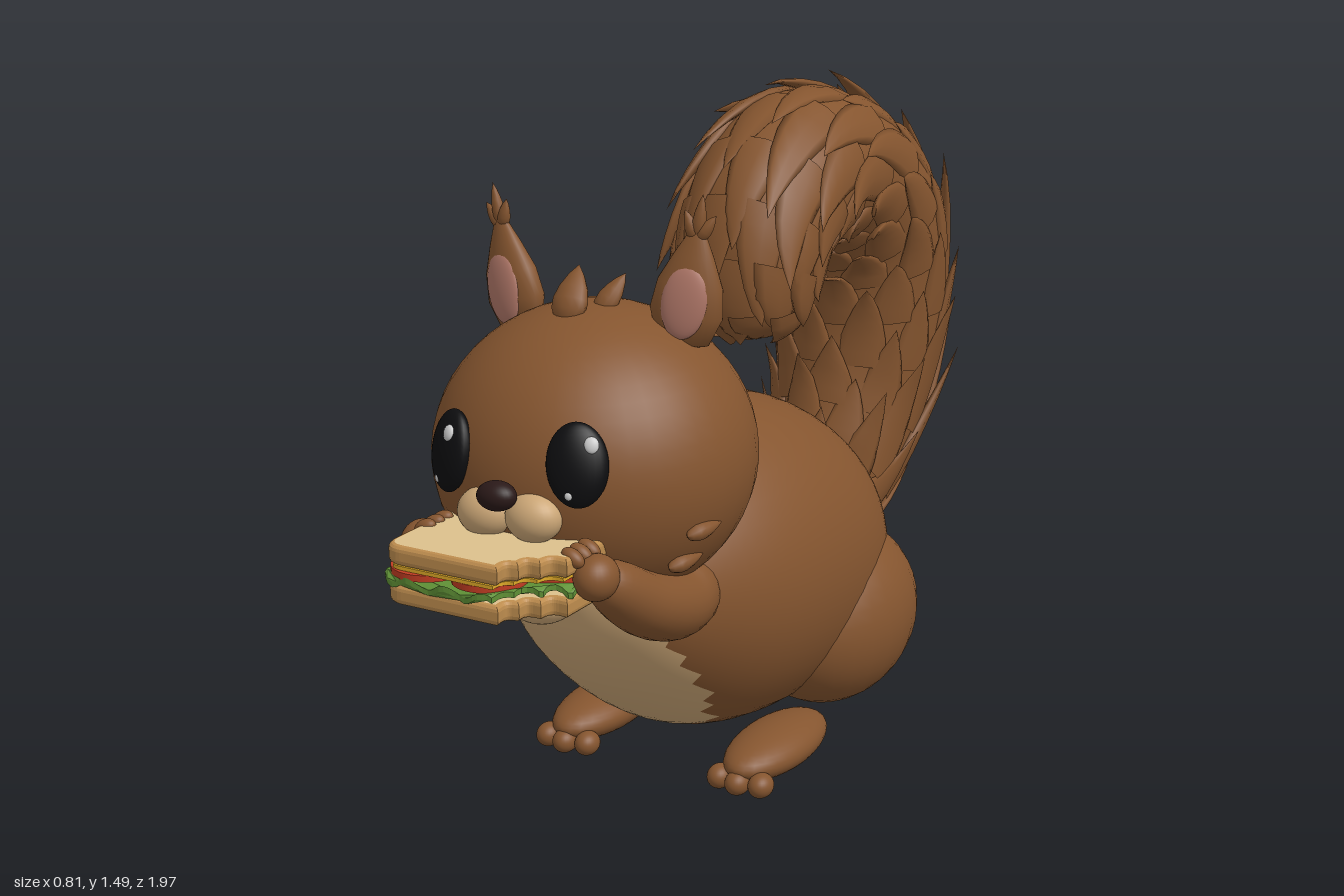
import * as THREE from 'three';

const mat = (color) => new THREE.MeshStandardMaterial({ color });
const V = (x, y, z) => new THREE.Vector3(x, y, z);
const fur = mat(0x85552f), cream = mat(0xcba676), black = mat(0x0d0d0f), noseMat = mat(0x2a1918);
const pink = mat(0xad7566), white = mat(0xf2f2f2), bread = mat(0xdcc08c), crust = mat(0xbd8c4e);
const red = mat(0xc03c22), green = mat(0x5f9036), yellow = mat(0xe0aa28);

function add(parent, name, geo, material, pos = [0, 0, 0], rot = [0, 0, 0], scale = [1, 1, 1]) {
  const m = new THREE.Mesh(geo, material);
  m.name = name;
  m.position.set(...pos);
  m.rotation.set(...rot);
  m.scale.set(...scale);
  parent.add(m);
  return m;
}
const lathe = (pts, n) => new THREE.LatheGeometry(pts.map((q) => new THREE.Vector2(...q)), n);
const ball = new THREE.SphereGeometry(1, 28, 20);
const blob = (parent, name, material, pos, radii, rot) => add(parent, name, ball, material, pos, rot, radii);
// Unit leaf-shaped tuft of fur, pointing up
const tuft = lathe([[0, 0], [0.6, 0.08], [0.95, 0.25], [1, 0.42], [0.82, 0.62], [0.45, 0.83], [0, 1]], 12);

// Skin over elliptical rings, each with centre c and half axes a and b (a x b points along the sweep)
function skin(rings, sides) {
  const pos = [], idx = [];
  rings.forEach(({ c, a, b }, i) => {
    for (let j = 0; j < sides; j++) {
      const t = (j / sides) * Math.PI * 2;
      const p = c.clone().addScaledVector(a, Math.cos(t)).addScaledVector(b, Math.sin(t));
      pos.push(p.x, p.y, p.z);
      if (i === rings.length - 1) continue;
      const k = i * sides + j, l = i * sides + ((j + 1) % sides);
      idx.push(k, l, k + sides, l, l + sides, k + sides);
    }
  });
  const g = new THREE.BufferGeometry();
  g.setAttribute('position', new THREE.Float32BufferAttribute(pos, 3));
  g.setIndex(idx);
  g.computeVertexNormals();
  return g;
}
const spline = (pts) => new THREE.CatmullRomCurve3(pts.map((p) => V(...p)), false, 'catmullrom');

// Limb frame at u: rows are [x, y, z, sideways radius, in-plane radius]
function limb(rows) {
  const path = spline(rows.map((r) => r.slice(0, 3)));
  const size = spline(rows.map((r) => [r[3], r[4], 0]));
  return (u) => {
    const c = path.getPoint(u), r = size.getPoint(u), t = path.getTangent(u);
    const a = V(1, 0, 0).addScaledVector(t, -t.x).normalize();
    const b = t.clone().cross(a);
    return { c, t, a: a.multiplyScalar(Math.max(r.x, 0)), b: b.multiplyScalar(Math.max(r.y, 0)) };
  };
}
const ringsOf = (f, n) => Array.from({ length: n + 1 }, (_, i) => f(i / n));

// Body, split by face into fur and belly
function buildBody(root) {
  const rows = [ // z, top, bottom, half width
    [-0.5, 0.39, 0.39, 0], [-0.485, 0.51, 0.27, 0.11], [-0.44, 0.62, 0.17, 0.2], [-0.35, 0.7, 0.11, 0.28],
    [-0.18, 0.79, 0.075, 0.345], [0.03, 0.845, 0.07, 0.365], [0.25, 0.83, 0.125, 0.34], [0.44, 0.76, 0.26, 0.26],
    [0.56, 0.67, 0.41, 0.16], [0.61, 0.55, 0.55, 0]];
  const outline = spline(rows.map((r) => r.slice(0, 3)));
  const width = spline(rows.map((r) => [r[3], 0, 0]));
  const geo = skin(ringsOf((u) => {
    const o = outline.getPoint(u), w = Math.max(width.getPoint(u).x, 0);
    return { c: V(0, (o.y + o.z) / 2, o.x), a: V(w, 0, 0), b: V(0, Math.max(o.y - o.z, 0) / 2, 0) };
  }, 54), 48);
  const p = geo.attributes.position, index = geo.index.array, parts = { fur: [], belly: [] };
  for (let i = 0; i < index.length; i += 3) {
    const f = [index[i], index[i + 1], index[i + 2]];
    const mid = (k) => f.reduce((s, v) => s + p.getComponent(v, k), 0) / 3;
    const inside = Math.abs(mid(0) / 0.205) ** 2.3 + Math.abs((mid(1) - 0.345) / 0.235) ** 2.3 < 1;
    parts[inside && mid(2) > 0.1 ? 'belly' : 'fur'].push(...f);
  }
  for (const [key, faces] of Object.entries(parts)) {
    const g = geo.clone();
    g.setIndex(faces);
    add(root, key === 'fur' ? 'body' : 'belly', g, key === 'fur' ? fur : cream);
  }
}

// Curled tail: swept core with thin locks of fur that follow its curve and lift at their tips
function buildTail(root) {
  const tail = new THREE.Group();
  tail.name = 'tail';
  root.add(tail);
  const f = limb([
    [0, 0.4, -0.4, 0.08, 0.08], [0, 0.46, -0.58, 0.14, 0.165], [0, 0.67, -0.715, 0.18, 0.21], [0, 0.9, -0.745, 0.205, 0.21],
    [0, 1.1, -0.695, 0.215, 0.2], [0, 1.235, -0.55, 0.205, 0.185], [0, 1.265, -0.37, 0.19, 0.18], [0, 1.185, -0.225, 0.18, 0.16],
    [0, 1.06, -0.155, 0.165, 0.11], [0, 0.96, -0.165, 0.12, 0.06], [0, 0.91, -0.175, 0, 0]]);
  add(tail, 'tailCore', skin(ringsOf(f, 54), 28), fur);
  const rows = 14, n = 9;
  for (let i = 0; i < rows; i++) {
    const u0 = 0.04 + (i / (rows - 1)) * 0.8;
    for (let j = 0; j < n; j++) {
      const ang = ((j + (i % 2) / 2) / n) * Math.PI * 2, wob = Math.sin(i * 7.3 + j * 4.1);
      add(tail, 'furLock', skin(ringsOf((s) => {
        const { c, t, a, b } = f(Math.min(u0 + s * (0.125 + 0.025 * wob), 0.99));
        const off = a.multiplyScalar(Math.cos(ang)).addScaledVector(b, Math.sin(ang));
        const out = off.clone().normalize(), taper = 1 - s ** 1.6;
        const side = out.clone().cross(t).normalize().multiplyScalar(0.065 * taper);
        c.addScaledVector(off, 0.92 + 0.1 * s).addScaledVector(out, (0.028 + 0.02 * wob) * s * s);
        return { c, a: side, b: out.multiplyScalar(0.022 * taper) };
      }, 6), 8), fur);
    }
  }
  // Loose lock near the root
  add(tail, 'looseLock', tuft, fur, [0.02, 0.33, -0.6], [-1.03, 0, 0], [0.07, 0.35, 0.035]);
}

function buildHead(root) {
  const head = new THREE.Group(), R = V(0.345, 0.32, 0.34);
  head.name = 'head';
  head.position.set(0, 0.83, 0.48);
  head.rotation.z = 0.06;
  root.add(head);
  add(head, 'skull', new THREE.SphereGeometry(1, 40, 28), fur, [0, 0, 0], [0, 0, 0], R.toArray());
  // Flattened blob lying on the skull's front
  const onFace = (name, material, x, y, lift, size) => {
    const z = R.z * Math.sqrt(1 - (x / R.x) ** 2 - (y / R.y) ** 2);
    const nrm = V(x / R.x ** 2, y / R.y ** 2, z / R.z ** 2).normalize();
    const m = new THREE.Mesh(ball, material);
    m.name = name;
    m.position.set(x, y, z).addScaledVector(nrm, lift);
    m.lookAt(m.position.clone().add(nrm));
    m.scale.set(...size);
    head.add(m);
  };
  const earGeo = lathe([[0, -0.03], [0.057, -0.01], [0.078, 0.05], [0.07, 0.11], [0.043, 0.17], [0.017, 0.22], [0, 0.24]], 24);
  for (const s of [1, -1]) {
    onFace('eye', black, s * 0.152, 0.065, 0, [0.063, 0.086, 0.03]);
    onFace('eyeHighlight', white, s * 0.152 + 0.022, 0.1, 0.026, [0.015, 0.017, 0.008]);
    onFace('eyeGlint', white, s * 0.152 - 0.012, 0.01, 0.024, [0.008, 0.009, 0.005]);
    blob(head, 'muzzle', cream, [s * 0.058, -0.045, 0.325], [0.062, 0.052, 0.05]);
    // Ear with pink lining and a tuft on the tip
    const ear = new THREE.Group();
    ear.name = 'ear';
    ear.position.set(s * 0.2, 0.25, -0.05);
    ear.rotation.set(0, s * 0.25, -s * 0.2);
    head.add(ear);
    add(ear, 'earShell', earGeo, fur, [0, 0, 0], [0, 0, 0], [1, 1, 0.55]);
    blob(ear, 'earLining', pink, [0, 0.078, 0.028], [0.049, 0.078, 0.018], [-0.1, 0, 0]);
    for (const r of [-0.5, 0, 0.5])
      add(ear, 'earTuft', tuft, fur, [0, 0.2, 0], [0, 0, -r], [0.015, r ? 0.07 : 0.1, 0.013]);
    // Cheek tufts
    for (const [y, z, x] of [[-0.115, 0.14, 0.3], [-0.185, 0.15, 0.258]])
      add(head, 'cheekTuft', tuft, fur, [s * x, y, z], [-1.5, 0, -s * 0.25], [0.018, 0.1, 0.018]);
  }
  blob(head, 'nose', noseMat, [0, 0.005, 0.365], [0.044, 0.031, 0.033]);
  blob(head, 'chin', cream, [0, -0.255, 0.235], [0.075, 0.05, 0.065]);
  add(head, 'crownTuft', tuft, fur, [0, 0.285, 0.085], [-0.55, 0, 0], [0.04, 0.135, 0.028]);
  add(head, 'crownTuft', tuft, fur, [0.03, 0.29, 0.01], [-0.6, 0, -0.4], [0.026, 0.11, 0.02]);
}

function buildLimbs(root) {
  for (const s of [1, -1]) {
    blob(root, 'thigh', fur, [s * 0.217, 0.292, -0.18], [0.19, 0.213, 0.254]);
    blob(root, 'foot', fur, [s * 0.227, 0.06, 0.095], [0.086, 0.053, 0.188]);
    for (const x of [-0.052, 0, 0.052])
      blob(root, 'toe', fur, [s * 0.227 + x, 0.034, x ? 0.258 : 0.27], [0.028, 0.028, 0.034]);
    const arm = limb([[s * 0.17, 0.56, 0.36, 0, 0], [s * 0.18, 0.545, 0.42, 0.08, 0.08], [s * 0.195, 0.535, 0.51, 0.09, 0.08],
      [s * 0.215, 0.585, 0.65, 0.075, 0.068], [s * 0.213, 0.665, 0.77, 0.05, 0.05], [s * 0.21, 0.69, 0.82, 0, 0]]);
    add(root, 'arm', skin(ringsOf(arm, 28), 24), fur);
    blob(root, 'hand', fur, [s * 0.21, 0.69, 0.81], [0.045, 0.048, 0.052]);
    for (const z of [0.785, 0.815, 0.845])
      blob(root, 'finger', fur, [s * 0.178, 0.737, z], [0.027, 0.017, 0.017], [0, 0, -s * 0.5]);
  }
}

// Sandwich with a scalloped bite in one corner
function buildSandwich(root) {
  const g = new THREE.Group();
  g.name = 'sandwich';
  g.position.z = 0.008;
  root.add(g);
  const slice = new THREE.Shape();
  slice.moveTo(-0.15, 0.7);
  slice.lineTo(0.14, 0.7);
  slice.quadraticCurveTo(0.175, 0.7, 0.175, 0.74);
  slice.lineTo(0.175, 0.86);
  slice.quadraticCurveTo(0.135, 0.855, 0.135, 0.893);
  slice.quadraticCurveTo(0.098, 0.89, 0.102, 0.925);
  slice.quadraticCurveTo(0.072, 0.93, 0.08, 0.965);
  slice.lineTo(-0.14, 0.965);
  slice.quadraticCurveTo(-0.175, 0.965, -0.175, 0.93);
  slice.lineTo(-0.175, 0.74);
  slice.quadraticCurveTo(-0.175, 0.7, -0.15, 0.7);
  const slab = (shape, depth, bevel) => new THREE.ExtrudeGeometry(shape, { depth: depth - 2 * bevel, curveSegments: 8,
    bevelEnabled: bevel > 0, bevelSize: bevel, bevelThickness: bevel, bevelSegments: 3 }).rotateX(Math.PI / 2);
  for (const y of [0.733, 0.65]) add(g, 'breadSlice', slab(slice, 0.042, 0.012), [bread, crust], [0, y, 0]);
  add(g, 'cheese', slab(slice, 0.008, 0), yellow, [0, 0.703, 0.008]);
  // Frilly lettuce leaf
  const frill = new THREE.Shape(slice.getSpacedPoints(110).map((p, i) => {
    const k = 1.06 + 0.025 * Math.sin(i * 0.9);
    return new THREE.Vector2(p.x * k, 0.835 + (p.y - 0.835) * (k + 0.06));
  }));
  const leaf = slab(frill, 0.012, 0), p = leaf.attributes.position;
  for (let i = 0; i < p.count; i++) p.setY(i, p.getY(i) + 0.009 * Math.sin(p.getX(i) * 70 + p.getZ(i) * 55));
  leaf.computeVertexNormals();
  add(g, 'lettuce', leaf, green, [0, 0.677, 0]);
  for (const [x, z] of [[-0.12, 0.905], [0.02, 0.895], [-0.1, 0.77], [0.11, 0.79]])
    add(g, 'tomato', new THREE.CylinderGeometry(0.078, 0.078, 0.014, 28), red, [x, 0.687, z]);
}

export function createModel() {
  const root = new THREE.Group();
  root.name = 'squirrel';
  buildBody(root);
  buildTail(root);
  buildHead(root);
  buildLimbs(root);
  buildSandwich(root);
  return root;
}
